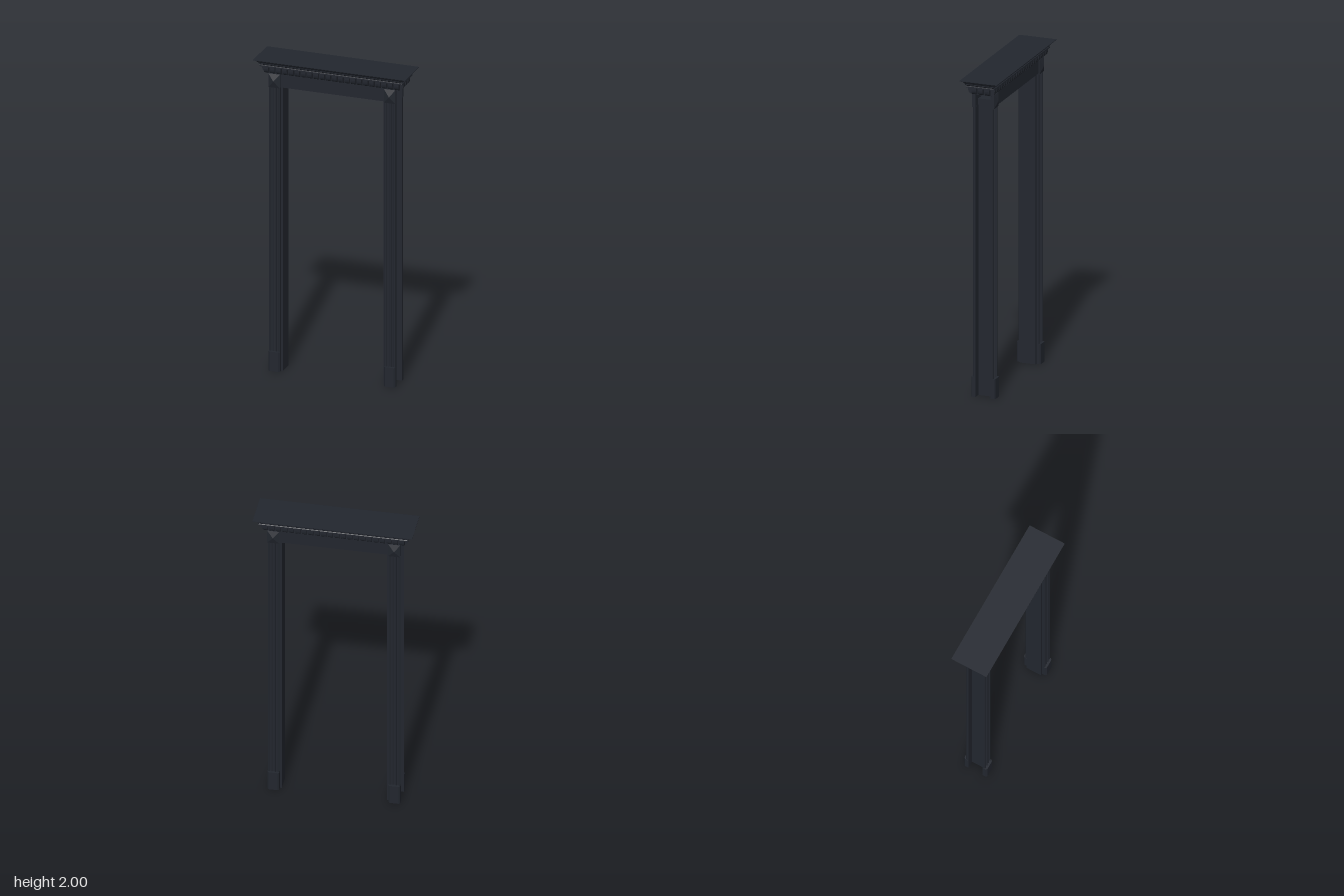
import * as THREE from 'three';

const material = new THREE.MeshStandardMaterial({ color: 0x22262e, flatShading: true });

function add(parent, name, geometry, x = 0, y = 0, z = 0) {
  const mesh = new THREE.Mesh(geometry, material);
  mesh.name = name;
  mesh.position.set(x, y, z);
  parent.add(mesh);
  return mesh;
}

// Extrudes an (x, z) plan upwards from y = 0
function extrudeUp(shape, height) {
  const g = new THREE.ExtrudeGeometry(shape, { depth: height, bevelEnabled: false, curveSegments: 6 });
  return g.rotateX(Math.PI / 2).translate(0, height, 0);
}

// Fluted plan of a casing board, centred on x
function casingPlan() {
  const s = new THREE.Shape();
  s.moveTo(-0.035, 0.048);
  s.lineTo(0.035, 0.048);
  s.lineTo(0.035, 0.062);
  s.lineTo(0.031, 0.066);
  for (const x of [0.018, 0, -0.018]) {
    s.lineTo(x + 0.007, 0.066);
    s.absarc(x, 0.066, 0.007, 0, -Math.PI, true);
  }
  s.lineTo(-0.031, 0.066);
  s.lineTo(-0.035, 0.062);
  s.closePath();
  return s;
}

// Plan of a plinth with chamfered front edges
function plinthPlan() {
  return new THREE.Shape([
    [-0.036, 0.048], [0.036, 0.048], [0.036, 0.07], [0.028, 0.078], [-0.028, 0.078], [-0.036, 0.07],
  ].map(([x, z]) => new THREE.Vector2(x, z)));
}

// Moulding swept round a rectangle; each level is [half depth, y]
function mouldingGeometry(levels, extra) {
  const pos = [];
  const ring = ([d, y]) => [[-1, 1], [1, 1], [1, -1], [-1, -1]].map(([sx, sz]) => [sx * (d + extra), y, sz * d]);
  const quad = (a, b, c, d) => pos.push(...a, ...b, ...c, ...a, ...c, ...d);
  for (let i = 0; i < levels.length - 1; i++) {
    const lo = ring(levels[i]), hi = ring(levels[i + 1]);
    for (let k = 0; k < 4; k++) quad(lo[k], lo[(k + 1) % 4], hi[(k + 1) % 4], hi[k]);
  }
  const bottom = ring(levels[0]), top = ring(levels[levels.length - 1]);
  quad(...top);
  quad(...bottom.reverse());
  const g = new THREE.BufferGeometry();
  g.setAttribute('position', new THREE.Float32BufferAttribute(pos, 3));
  g.computeVertexNormals();
  return g;
}

// Small rounded corbel projecting towards +z, origin at its upper back edge
function corbelGeometry(width) {
  const s = new THREE.Shape();
  s.moveTo(0, 0);
  s.lineTo(0, -0.046);
  s.quadraticCurveTo(0.024, -0.044, 0.026, -0.016);
  s.lineTo(0.026, 0);
  s.closePath();
  const g = new THREE.ExtrudeGeometry(s, { depth: width, bevelEnabled: false, curveSegments: 5 });
  return g.translate(0, 0, -width / 2).rotateY(-Math.PI / 2);
}

// All trim on one face of the doorway
function createFace(name) {
  const face = new THREE.Group();
  face.name = name;
  const casing = extrudeUp(casingPlan(), 1.822);
  const plinth = extrudeUp(plinthPlan(), 0.125);
  const block = new THREE.BoxGeometry(0.074, 0.088, 0.022);
  const pyramid = new THREE.ConeGeometry(Math.SQRT1_2, 1, 4, 1, true)
    .rotateY(Math.PI / 4).rotateX(Math.PI / 2).scale(0.074, 0.088, 0.015);
  for (const side of [-1, 1]) {
    const x = side * 0.368;
    add(face, 'casing', casing, x);
    add(face, 'plinth', plinth, x);
    add(face, 'cornerBlock', block, x, 1.864, 0.06);
    add(face, 'cornerPyramid', pyramid, x, 1.864, 0.0785);
  }
  add(face, 'headerBoard', new THREE.BoxGeometry(0.664, 0.083, 0.016), 0, 1.8665, 0.056);
  return face;
}

export function createModel() {
  const model = new THREE.Group();
  model.name = 'doorFrame';

  // Lining between the two faces
  const jamb = new THREE.BoxGeometry(0.04, 1.82, 0.1);
  for (const side of [-1, 1]) add(model, 'jamb', jamb, side * 0.34, 0.91);
  add(model, 'headJamb', new THREE.BoxGeometry(0.72, 0.042, 0.1), 0, 1.841);

  // Front and back trim
  model.add(createFace('frontTrim'));
  const back = createFace('backTrim');
  back.rotation.y = Math.PI;
  model.add(back);

  // Stepped cornice with a flared crown
  add(model, 'cornice', mouldingGeometry([
    [0.062, 1.906], [0.062, 1.954], [0.09, 1.954], [0.09, 1.961], [0.086, 1.964], [0.089, 1.968],
    [0.094, 1.972], [0.094, 1.977], [0.098, 1.981], [0.103, 1.988], [0.111, 1.994], [0.12, 1.997], [0.12, 2],
  ], 0.365));

  // Corbels under the cornice on all four sides
  const corbel = corbelGeometry(0.029);
  const row = (count, length, angle, offset) => {
    const group = new THREE.Group();
    group.name = 'corbelRow';
    for (let i = 0; i < count; i++) {
      add(group, 'corbel', corbel, ((i + 0.5) / count - 0.5) * length, 1.955, offset);
    }
    group.rotation.y = angle;
    model.add(group);
  };
  for (const turn of [0, Math.PI]) {
    row(22, 0.87, turn, 0.06);
    row(3, 0.125, turn + Math.PI / 2, 0.425);
  }
  return model;
}
